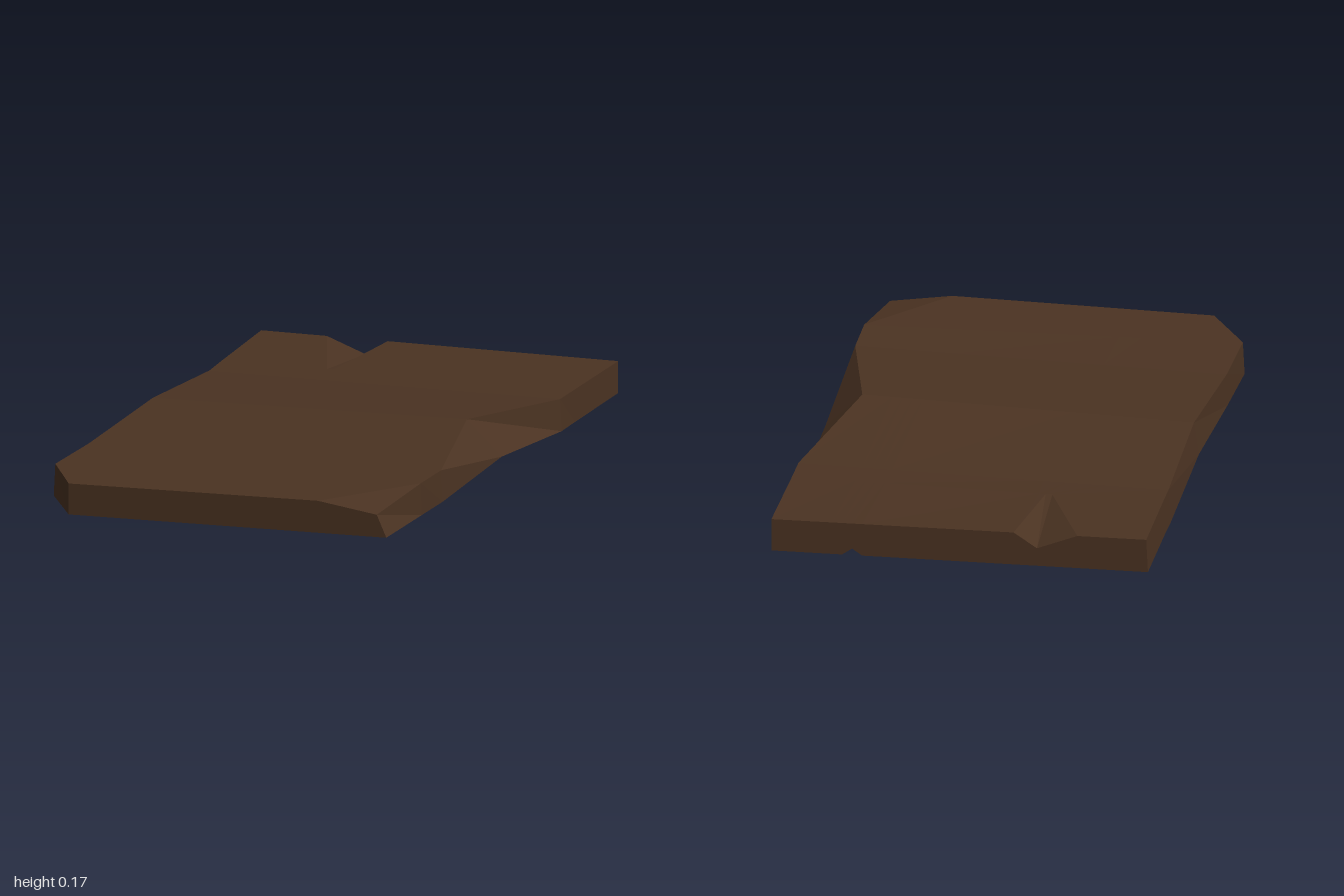
import * as THREE from 'three';

// Stations along the plank, back to front. Pairs are [left, right].
const stations = [
  { z: [-0.975, -1.0], bx: [-0.58, 0.54], tx: [-0.575, 0.54], by: [0.01, 0.018], ty: [0.11, 0.115] },
  { z: [-0.62, -0.62], bx: [-0.565, 0.55], tx: [-0.56, 0.547], by: [0.005, 0.023], ty: [0.107, 0.12] },
  { z: [-0.5, -0.5], bx: [-0.56, 0.555], tx: [-0.555, 0.55], by: [0.0, 0.025], ty: [0.105, 0.122] },
  { z: [0, 0], bx: [-0.555, 0.56], tx: [-0.54, 0.45], by: [0.048, 0.07], ty: [0.145, 0.173] },
  { z: [0.5, 0.5], bx: [-0.55, 0.567], tx: [-0.547, 0.562], by: [0.033, 0.055], ty: [0.128, 0.15] },
  { z: [0.78, 0.68], bx: [-0.55, 0.57], tx: [-0.545, 0.568], by: [0.037, 0.058], ty: [0.134, 0.155] },
  { z: [0.995, 0.98], bx: [-0.42, 0.575], tx: [-0.42, 0.545], by: [0.044, 0.063], ty: [0.138, 0.16] },
];
// Inner columns: three for the top crack, three for the underside crack, one for the chip
const columns = [-0.37, -0.25, -0.18, 0.27, 0.3, 0.33, 0.36];
const crackTip = [-0.23, -0.21, -0.19];

// One side (top or bottom) of a cross-section, left to right
function edgeLine(s, row, top) {
  const ends = top ? s.tx : s.bx;
  const heights = top ? s.ty : s.by;
  return [ends[0], ...columns, ends[1]].map((x, k) => {
    if (top && row === 1 && k >= 1 && k <= 3) x = crackTip[k - 1];
    const t = (x - ends[0]) / (ends[1] - ends[0]);
    let y = THREE.MathUtils.lerp(heights[0], heights[1], t);
    let z = THREE.MathUtils.lerp(s.z[0], s.z[1], t);
    if (top && row === 0 && k === 2) y -= 0.045; // top crack
    if (!top && row === 0 && k === 5) y += 0.02; // underside crack
    if (!top && row === 1 && k >= 4 && k <= 6) { // its tip
      z = -0.8;
      x = 0.3 + (x - 0.3) * 0.4;
    }
    if (top && row === stations.length - 1 && k === 8) y = 0.13; // chipped front corner
    return [x, y, z];
  });
}

function plankGeometry() {
  const sections = stations.map((s, i) => ({ bottom: edgeLine(s, i, false), top: edgeLine(s, i, true) }));
  const pos = [];
  const quad = (a, b, c, d) => pos.push(...a, ...b, ...c, ...a, ...c, ...d);

  // Skin around the cross-sections
  const rings = sections.map((s) => [...s.bottom, ...s.top.slice().reverse()]);
  for (let i = 0; i < rings.length - 1; i++) {
    const p = rings[i], q = rings[i + 1], n = p.length;
    for (let j = 0; j < n; j++) {
      const k = (j + 1) % n;
      quad(p[j], p[k], q[k], q[j]);
    }
  }
  // Cut ends
  const back = sections[0], front = sections[sections.length - 1];
  for (let k = 0; k < columns.length + 1; k++) {
    quad(front.bottom[k], front.bottom[k + 1], front.top[k + 1], front.top[k]);
    quad(back.bottom[k + 1], back.bottom[k], back.top[k], back.top[k + 1]);
  }
  const g = new THREE.BufferGeometry();
  g.setAttribute('position', new THREE.Float32BufferAttribute(pos, 3));
  g.computeVertexNormals();
  return g;
}

export function createModel() {
  const group = new THREE.Group();
  group.name = 'woodenPlank';
  const wood = new THREE.MeshStandardMaterial({ color: 0x4b3322, flatShading: true });
  const plank = new THREE.Mesh(plankGeometry(), wood);
  plank.name = 'plank';
  group.add(plank);
  return group;
}
